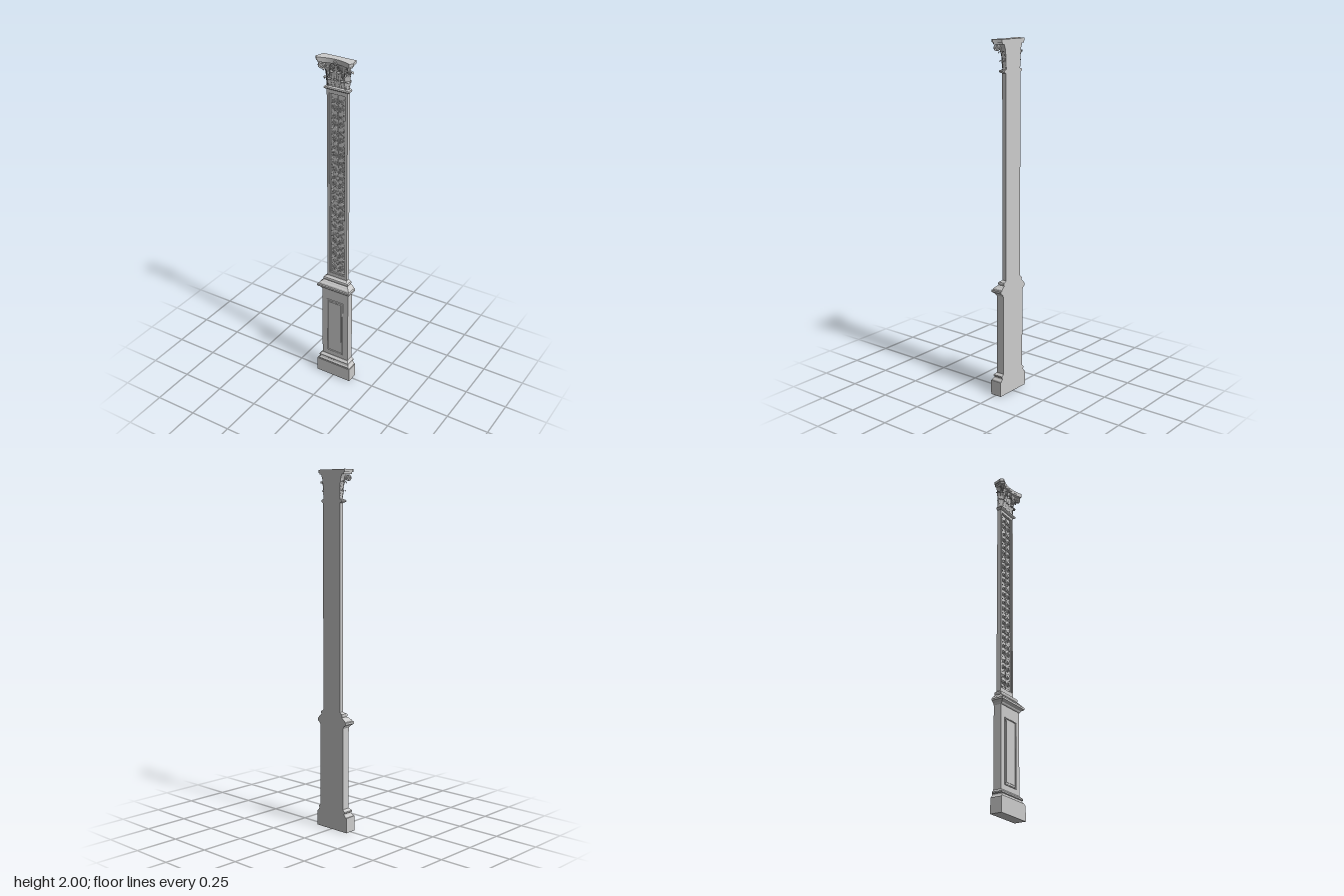
import * as THREE from 'three';

const BACK = -0.035;
const mat = new THREE.MeshStandardMaterial({ color: 0xcccccc });
const thin = new THREE.MeshStandardMaterial({ color: 0xcccccc, side: THREE.DoubleSide });

function add(parent, name, geo, x = 0, y = 0, z = 0, material = mat) {
  const m = new THREE.Mesh(geo, material);
  m.name = name;
  m.position.set(x, y, z);
  parent.add(m);
  return m;
}

// Mitred moulding against the wall: levels of [half width, y, front z]
function moulding(levels) {
  const rings = levels.map(([w, y, f = w - 0.073]) =>
    [[-w, y, f], [w, y, f], [w, y, BACK], [-w, y, BACK]]);
  const pos = [];
  const quad = (a, b, c, d) => pos.push(...a, ...b, ...c, ...a, ...c, ...d);
  for (let k = 0; k < rings.length - 1; k++) {
    for (let i = 0; i < 4; i++) {
      const j = (i + 1) % 4;
      quad(rings[k][i], rings[k][j], rings[k + 1][j], rings[k + 1][i]);
    }
  }
  const lo = rings[0], hi = rings[rings.length - 1];
  quad(hi[0], hi[1], hi[2], hi[3]);
  quad(lo[3], lo[2], lo[1], lo[0]);
  const g = new THREE.BufferGeometry();
  g.setAttribute('position', new THREE.Float32BufferAttribute(pos, 3));
  g.computeVertexNormals();
  return g;
}

// Rectangular frame with a rectangular opening
function frame(w, y0, y1, border, depth, bevel = 0) {
  const rect = (P, b) => {
    const p = new P();
    p.moveTo(-w + b, y0 + b);
    p.lineTo(w - b, y0 + b);
    p.lineTo(w - b, y1 - b);
    p.lineTo(-w + b, y1 - b);
    p.closePath();
    return p;
  };
  const s = rect(THREE.Shape, 0);
  s.holes.push(rect(THREE.Path, border));
  return new THREE.ExtrudeGeometry(s, {
    depth, bevelEnabled: bevel > 0, bevelSize: bevel, bevelThickness: bevel, bevelOffset: -bevel, bevelSegments: 2,
  });
}

// Lobed acanthus leaf: rises to height h, then its tip curls forward with radius r
function leafGeometry(W, h, r, lean) {
  const g = new THREE.PlaneGeometry(2, 1, 8, 18);
  const p = g.attributes.position;
  for (let i = 0; i < p.count; i++) {
    const u = p.getX(i), v = p.getY(i) + 0.5;
    const taper = v < 0.6 ? 0.7 + 0.5 * v : Math.sqrt(Math.max(0, 1 - ((v - 0.6) / 0.42) ** 2));
    const lobes = 0.78 + 0.22 * Math.abs(Math.cos(v * Math.PI * 4.5));
    const ribs = W * 0.16 * Math.cos(u * Math.PI * 3) * (1 - 0.5 * v);
    const a = Math.max(0, (v - 0.68) / 0.32) * Math.PI * 1.15;
    const rise = Math.min(1, v / 0.68);
    p.setXYZ(i, u * W * taper * lobes, h * rise + r * Math.sin(a),
      lean * rise * rise + r * (1 - Math.cos(a)) + ribs);
  }
  g.computeVertexNormals();
  return g;
}

// Spiral scroll in the xy plane, from a stem start point winding to its centre
function scrollGeometry(start, cx, cy, radius, turns, tube, dir = -1, segs = 36) {
  const pts = start.map(([x, y]) => new THREE.Vector3(x, y, 0));
  const n = Math.round(turns * 9);
  for (let i = 0; i <= n; i++) {
    const t = i / n, a = Math.PI * (dir < 0 ? 0.8 : 0.2) + dir * t * turns * Math.PI * 2;
    const rr = radius * (1 - 0.82 * t);
    pts.push(new THREE.Vector3(cx + rr * Math.cos(a), cy + rr * Math.sin(a), 0));
  }
  return new THREE.TubeGeometry(new THREE.CatmullRomCurve3(pts), segs, tube, 6);
}

function pedestal() {
  const g = new THREE.Group();
  g.name = 'pedestal';
  add(g, 'plinth', moulding([[0.113, 0, 0.034], [0.113, 0.085, 0.034]]));
  add(g, 'baseMoulding', moulding([[0.108, 0.085, 0.031], [0.104, 0.092], [0.098, 0.098], [0.096, 0.106],
    [0.1, 0.11], [0.1, 0.117], [0.096, 0.121], [0.09, 0.126], [0.087, 0.13]]));
  add(g, 'die', moulding([[0.087, 0.12, 0.012], [0.087, 0.605, 0.012]]));
  add(g, 'panelFrame', frame(0.053, 0.16, 0.528, 0.007, 0.003, 0.002), 0, 0, 0.012);
  add(g, 'panelField', new THREE.BoxGeometry(0.08, 0.335, 0.003), 0, 0.344, 0.0125);
  add(g, 'capMoulding', moulding([[0.087, 0.592], [0.091, 0.598], [0.093, 0.603], [0.102, 0.609], [0.107, 0.614],
    [0.107, 0.625], [0.101, 0.628], [0.098, 0.636], [0.09, 0.642], [0.085, 0.648], [0.078, 0.652],
    [0.08, 0.657], [0.081, 0.664], [0.079, 0.67], [0.07, 0.674], [0.064, 0.68]]));
  return g;
}

// One repeat of the carved arabesque
function arabesqueUnit(scroll, small, leaf, bud) {
  const g = new THREE.Group();
  for (const s of [-1, 1]) {
    const half = new THREE.Group();
    half.scale.x = s;
    add(half, 'largeScroll', scroll);
    add(half, 'smallScroll', small);
    for (const [x, y, turn] of [[0.006, 0.004, -0.9], [0.012, 0.03, -1.3], [0.03, 0.04, -0.4],
      [0.007, 0.062, -0.6], [0.03, 0.008, -2.6], [0.03, 0.074, -0.9]]) {
      add(half, 'leaf', leaf, x, y, -0.002, thin).rotation.z = turn;
    }
    add(half, 'rosette', bud, 0.024, 0.026, 0.001);
    g.add(half);
  }
  add(g, 'centreLeaf', leaf, 0, 0.036, 0, thin).scale.set(1.4, 1.5, 1);
  add(g, 'bud', bud, 0, 0.078, 0.001);
  return g;
}

function shaft() {
  const g = new THREE.Group();
  g.name = 'shaft';
  add(g, 'shaftCore', moulding([[0.063, 0.67, -0.02], [0.063, 1.84, -0.02]]));
  add(g, 'shaftFrame', frame(0.063, 0.67, 1.835, 0.013, 0.01), 0, 0, -0.02);
  add(g, 'panelBorder', frame(0.05, 0.7, 1.805, 0.006, 0.004, 0.0015), 0, 0, -0.0185);
  // Close the frame above and below the sunk panel
  add(g, 'bottomRail', new THREE.BoxGeometry(0.126, 0.03, 0.01), 0, 0.687, -0.015);
  add(g, 'topRail', new THREE.BoxGeometry(0.126, 0.03, 0.01), 0, 1.82, -0.015);

  const scroll = scrollGeometry([[0, 0], [0.006, 0.014]], 0.024, 0.026, 0.014, 1.5, 0.0022);
  const small = scrollGeometry([[0, 0.045], [0.006, 0.055]], 0.022, 0.064, 0.011, 1.3, 0.002, -1, 28);
  const leaf = leafGeometry(0.005, 0.012, 0.0025, 0.001);
  const bud = new THREE.SphereGeometry(0.0045, 8, 6);
  bud.scale(1, 1, 0.7);
  const n = 12, step = 1.07 / n;
  for (let i = 0; i < n; i++) {
    const unit = arabesqueUnit(scroll, small, leaf, bud);
    unit.name = 'arabesque';
    unit.position.set(0, 0.716 + i * step, -0.0175);
    g.add(unit);
  }
  add(g, 'stem', new THREE.CylinderGeometry(0.002, 0.002, 1.08, 6), 0, 1.252, -0.018);
  return g;
}

// Abacus slab with a hollowed front, hollowed sides and clipped corners
function abacusGeometry(k, depth) {
  const s = new THREE.Shape();
  const w = 0.112 * k, c = 0.097 * k, f = -0.033 * k;
  s.moveTo(-c, -BACK);
  s.quadraticCurveTo(-0.102 * k, 0.005, -w, -0.015 * k);
  s.lineTo(-c, f);
  s.quadraticCurveTo(0, 0.013, c, f);
  s.lineTo(w, -0.015 * k);
  s.quadraticCurveTo(0.102 * k, 0.005, c, -BACK);
  s.closePath();
  const g = new THREE.ExtrudeGeometry(s, { depth, bevelEnabled: false, curveSegments: 20 });
  return g.rotateX(-Math.PI / 2);
}

function capital() {
  const g = new THREE.Group();
  g.name = 'capital';
  add(g, 'astragal', moulding([[0.064, 1.822], [0.073, 1.827], [0.076, 1.832], [0.073, 1.838], [0.064, 1.842]]));
  add(g, 'bell', moulding([[0.06, 1.838, -0.014], [0.061, 1.9, -0.012], [0.068, 1.95, -0.006], [0.078, 1.978, 0.002]]));
  add(g, 'abacusLower', abacusGeometry(0.93, 0.01), 0, 1.974, 0);
  add(g, 'abacusUpper', abacusGeometry(1, 0.016), 0, 1.984, 0);

  // Two rows of leaves on the front
  const low = leafGeometry(0.019, 0.044, 0.006, 0.005);
  const high = leafGeometry(0.018, 0.088, 0.007, 0.009);
  for (const x of [-0.04, 0, 0.04]) add(g, 'lowerLeaf', low, x, 1.84, -0.012, thin);
  for (const x of [-0.021, 0.021]) add(g, 'upperLeaf', high, x, 1.84, -0.012, thin);

  const volute = scrollGeometry([[-0.012, 1.88], [0.002, 1.915], [0.012, 1.945]], 0.031, 1.953, 0.0165, 1.7, 0.0048, -1, 50);
  const helix = scrollGeometry([[0.04, 1.9], [0.036, 1.93]], 0.021, 1.952, 0.0125, 1.6, 0.0034, 1, 44);
  const sideLeaf = leafGeometry(0.011, 0.044, 0.005, 0.004);
  const sideHigh = leafGeometry(0.011, 0.085, 0.008, 0.011);
  const boss = new THREE.SphereGeometry(0.007, 10, 8);
  for (const s of [-1, 1]) {
    const half = new THREE.Group();
    half.name = 'capitalHalf';
    half.scale.x = s;
    g.add(half);
    // Corner volute and the leaves under it, set on the diagonal
    const corner = new THREE.Group();
    corner.name = 'cornerVolute';
    corner.position.set(0.06, 0, -0.012);
    corner.rotation.y = -Math.PI / 4;
    half.add(corner);
    for (const z of [-0.004, 0.004]) add(corner, 'volute', volute, 0, 0, z);
    add(corner, 'voluteEye', boss, 0.031, 1.953, 0).scale.z = 1.4;
    add(corner, 'cornerLeaf', high, 0, 1.84, 0, thin).rotation.y = Math.PI / 2;
    add(corner, 'cornerLowerLeaf', low, 0, 1.84, 0, thin).rotation.y = Math.PI / 2;
    // Inner helix, stalk leaf and side leaves
    add(half, 'helix', helix, 0, 0, 0.002);
    add(half, 'stalkLeaf', sideLeaf, 0.046, 1.905, -0.006, thin).rotation.z = -0.35;
    add(half, 'sideLowerLeaf', sideLeaf, 0.061, 1.84, -0.024, thin).rotation.y = Math.PI / 2;
    add(half, 'sideUpperLeaf', sideHigh, 0.061, 1.845, -0.024, thin).rotation.y = Math.PI / 2;
  }

  // Central flower on the abacus
  const petal = new THREE.SphereGeometry(0.006, 8, 6);
  for (let i = 0; i < 6; i++) {
    const a = (i / 6) * Math.PI * 2;
    add(g, 'flowerPetal', petal, 0.008 * Math.cos(a), 1.979 + 0.008 * Math.sin(a), 0.007);
  }
  add(g, 'flowerCentre', petal, 0, 1.979, 0.009);
  return g;
}

export function createModel() {
  const model = new THREE.Group();
  model.name = 'pilaster';
  model.add(pedestal(), shaft(), capital());
  return model;
}
